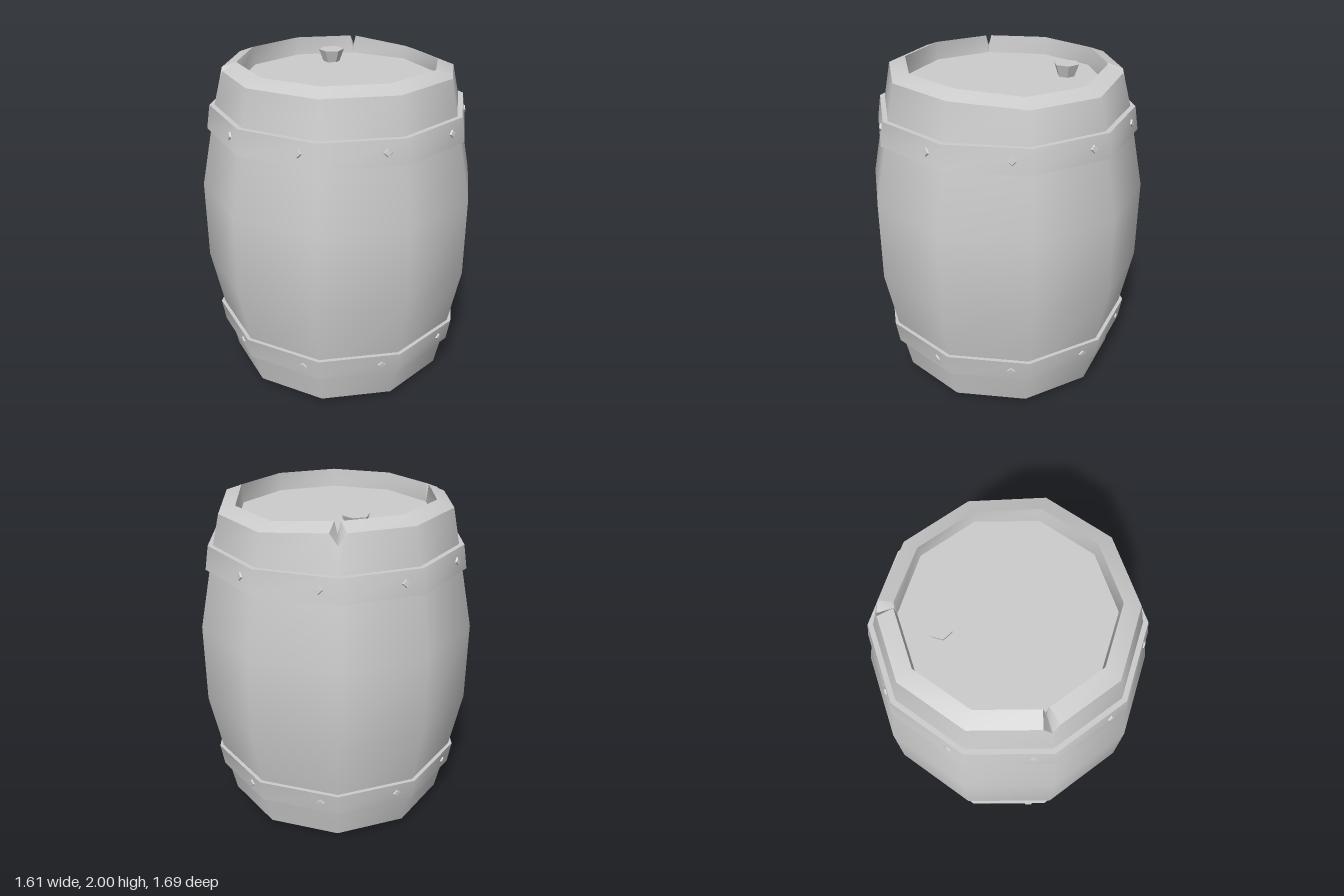
import * as THREE from 'three';
import { toCreasedNormals } from 'three/addons/utils/BufferGeometryUtils.js';

const SIDES = 10;
const CREASE = 0.68;
const material = new THREE.MeshStandardMaterial({ color: 0xcccccc });

// Point on the ten-sided outline; k counts corners from +z towards +x
function outline(k, radius, y) {
  const corner = i => {
    const a = (i / SIDES) * Math.PI * 2;
    return new THREE.Vector3(Math.sin(a) * radius, y, Math.cos(a) * radius);
  };
  const i = Math.floor(k);
  return corner(i).lerp(corner(i + 1), k - i);
}

// Skin a grid of columns (going round) by rows (along the profile)
function skin(columns, closedProfile) {
  const pos = [];
  const n = columns.length, m = columns[0].length;
  for (let i = 0; i < n; i++) {
    const A = columns[i], B = columns[(i + 1) % n];
    for (let j = 0; j < (closedProfile ? m : m - 1); j++) {
      const t = (j + 1) % m;
      for (const p of [A[j], B[j], B[t], A[j], B[t], A[t]]) pos.push(p.x, p.y, p.z);
    }
  }
  const g = new THREE.BufferGeometry();
  g.setAttribute('position', new THREE.Float32BufferAttribute(pos, 3));
  return toCreasedNormals(g, CREASE);
}

function add(parent, name, geometry) {
  const mesh = new THREE.Mesh(geometry, material);
  mesh.name = name;
  parent.add(mesh);
  return mesh;
}

// Staves with chamfered rims, a worn edge on the +x side and two split notches
function bodyGeometry() {
  const profile = [[0.59, 0.1], [0.6, 0], [0.7, 0.04], [0.745, 0.25], [0.845, 0.76],
    [0.845, 1.25], [0.743, 1.75], [0.7, 1.962], [0.6, 2], [0.59, 1.89]];
  const outer = 7, inner = 8;
  const notches = [4, 7];
  const columns = [];
  for (let k = 0; k < SIDES; k++) {
    const split = notches.includes(k);
    for (const s of split ? [-1, 0, 1] : [0]) {
      columns.push(profile.map(([r, y], j) => {
        let at = k;
        if (j === outer) at += s * 0.11;
        if (j === inner) at += s * 0.05;
        if (j === outer || j === inner) {
          if (k === 2 || k === 3) y -= 0.03;
          if (split && s === 0) y = j === outer ? 1.9 : 1.93;
        }
        return outline(at, r, y);
      }));
    }
  }
  return skin(columns, false);
}

function hoopGeometry(profile) {
  const columns = [];
  for (let k = 0; k < SIDES; k++) columns.push(profile.map(([r, y]) => outline(k, r, y)));
  return skin(columns, true);
}

export function createModel() {
  const group = new THREE.Group();
  group.name = 'barrel';
  add(group, 'staves', bodyGeometry());

  // Recessed heads
  const disc = new THREE.CircleGeometry(0.59, SIDES);
  const lid = add(group, 'topHead', disc);
  lid.rotation.set(-Math.PI / 2, 0, Math.PI / 2);
  lid.position.y = 1.89;
  const base = add(group, 'bottomHead', disc);
  base.rotation.set(Math.PI / 2, 0, Math.PI / 2);
  base.position.y = 0.1;

  // Hoops with one diamond rivet per side
  const rivet = new THREE.CylinderGeometry(0.02, 0.03, 0.016, 4).toNonIndexed();
  rivet.rotateX(Math.PI / 2);
  rivet.computeVertexNormals();
  for (const top of [false, true]) {
    const name = top ? 'upperHoop' : 'lowerHoop';
    const profile = top
      ? [[0.73, 1.61], [0.796, 1.61], [0.773, 1.752], [0.73, 1.752]]
      : [[0.73, 0.25], [0.773, 0.25], [0.796, 0.392], [0.73, 0.392]];
    add(group, name, hoopGeometry(profile));
    for (let k = 0; k < SIDES; k++) {
      const m = add(group, name + 'Rivet', rivet);
      m.position.copy(outline(k + 0.78, 0.785, top ? 1.683 : 0.322));
      m.rotation.order = 'YXZ';
      m.rotation.y = ((k + 0.5) / SIDES) * Math.PI * 2;
      m.rotation.x = top ? -0.15 : 0.15;
    }
  }

  // Flared bung on the top head
  const bung = add(group, 'bung',
    toCreasedNormals(new THREE.CylinderGeometry(0.079, 0.05, 0.08, 6), CREASE));
  bung.position.set(0.123, 1.925, -0.348);
  bung.rotation.y = 0.12;
  return group;
}
